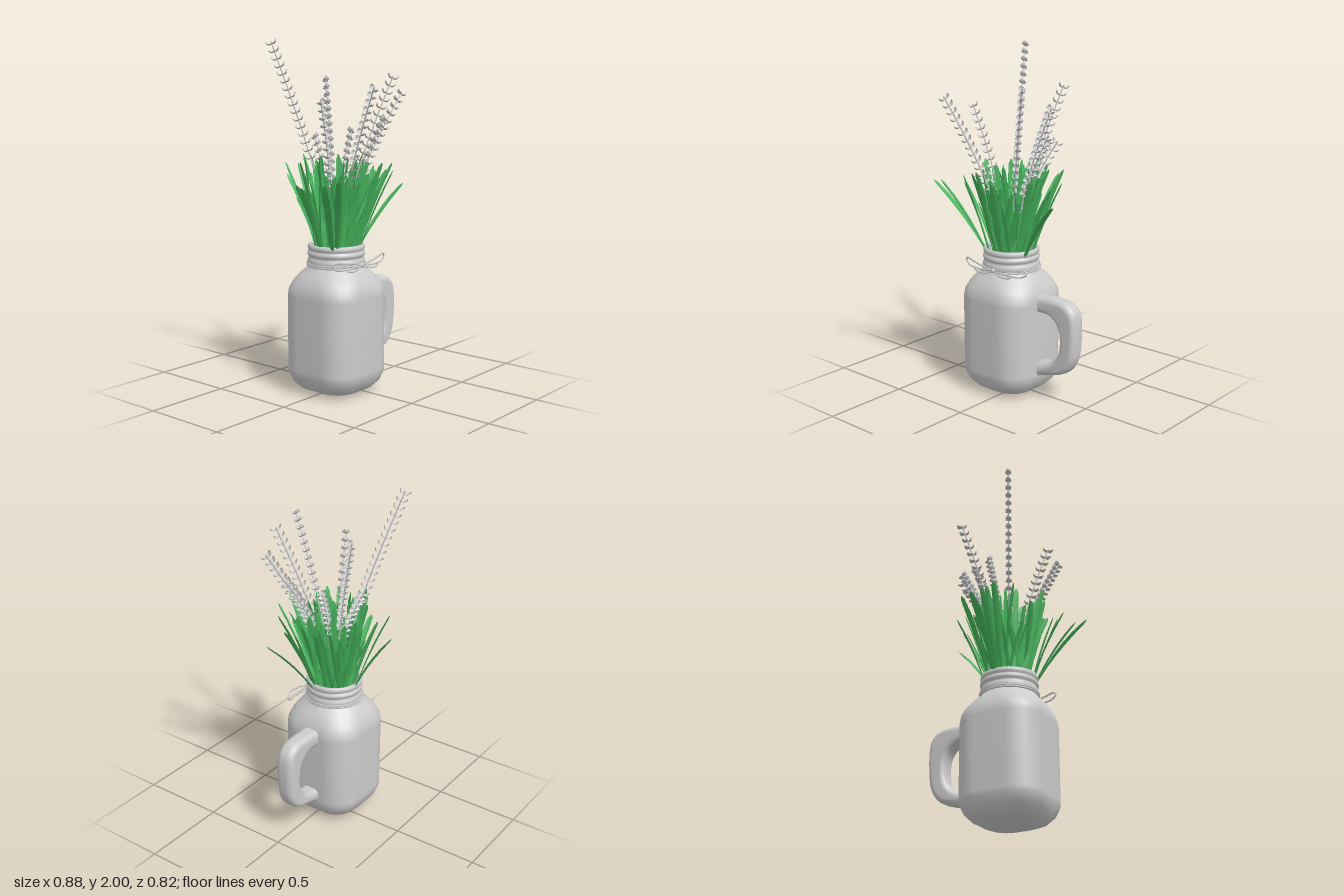
import * as THREE from 'three';
import { mergeGeometries } from 'three/addons/utils/BufferGeometryUtils.js';

const V = (x, y, z) => new THREE.Vector3(x, y, z);
const CX = -0.055; // jar axis

const grey = new THREE.MeshStandardMaterial({ color: 0xcccccc });
const greyThin = new THREE.MeshStandardMaterial({ color: 0xcccccc, side: THREE.DoubleSide, flatShading: true });
const green = new THREE.MeshStandardMaterial({ color: 0x46b75d, side: THREE.DoubleSide });

let seed = 7;
const rand = (a = 0, b = 1) => {
  seed = (seed * 16807) % 2147483647;
  return a + (b - a) * seed / 2147483647;
};

function mesh(name, geometry, material = grey) {
  const m = new THREE.Mesh(geometry, material);
  m.name = name;
  return m;
}

// Skin a list of point rows; closed rows wrap round
function skin(rows, closed) {
  const n = rows[0].length, index = [];
  for (let j = 0; j < rows.length - 1; j++) {
    for (let i = 0; i < (closed ? n : n - 1); i++) {
      const k = (i + 1) % n, a = j * n + i, b = j * n + k;
      index.push(a, b, a + n, b, b + n, a + n);
    }
  }
  const g = new THREE.BufferGeometry().setFromPoints(rows.flat());
  g.setIndex(index);
  g.computeVertexNormals();
  return g;
}

// Rounded rectangle outline, counter-clockwise
function roundedRect(w, h, r, steps = 6) {
  const pts = [];
  [[1, 1], [-1, 1], [-1, -1], [1, -1]].forEach(([sx, sy], q) => {
    for (let i = 0; i <= steps; i++) {
      const a = (q + i / steps) * Math.PI / 2;
      pts.push([sx * (w - r) + r * Math.cos(a), sy * (h - r) + r * Math.sin(a)]);
    }
  });
  return pts;
}

function jarBody() {
  // height, half width, corner radius
  const rings = [
    [0, 0.001, 0.001], [0, 0.1, 0.075], [0.003, 0.14, 0.1], [0.022, 0.185, 0.125], [0.06, 0.221, 0.145],
    [0.11, 0.24, 0.153], [0.14, 0.241, 0.153], [0.56, 0.241, 0.153], [0.6, 0.237, 0.155], [0.64, 0.222, 0.16],
    [0.68, 0.198, 0.165], [0.71, 0.172, 0.168], [0.73, 0.158, 0.157],
  ];
  return skin(rings.map(([y, w, r]) => roundedRect(w, w, r).map(([u, v]) => V(CX + u, y, -v))), true);
}

function jarNeck() {
  // threaded outside, over the rim, down the inner wall to the floor
  const p = [
    [0.155, 0.71], [0.155, 0.735], [0.163, 0.742], [0.165, 0.755], [0.163, 0.768], [0.156, 0.775],
    [0.156, 0.785], [0.163, 0.791], [0.165, 0.8], [0.163, 0.81], [0.156, 0.816], [0.156, 0.822],
    [0.162, 0.828], [0.163, 0.84], [0.158, 0.852], [0.148, 0.854], [0.142, 0.846], [0.14, 0.8],
    [0.14, 0.08], [0, 0.06],
  ].map(([x, y]) => new THREE.Vector2(x, y));
  return new THREE.LatheGeometry(p, 40).translate(CX, 0, 0);
}

// Handle skinned between its outer and inner outlines
function handle() {
  const curve = (pts) => new THREE.CatmullRomCurve3(pts.map(([x, y]) => V(x, y, 0)));
  const outer = curve([[0.13, 0.61], [0.2, 0.61], [0.3, 0.61], [0.38, 0.597], [0.425, 0.555], [0.44, 0.49],
    [0.44, 0.35], [0.425, 0.26], [0.37, 0.185], [0.2, 0.13], [0.13, 0.105]]);
  const inner = curve([[0.13, 0.505], [0.19, 0.51], [0.25, 0.505], [0.3, 0.475], [0.325, 0.435], [0.335, 0.38],
    [0.328, 0.31], [0.305, 0.26], [0.265, 0.228], [0.19, 0.212], [0.13, 0.21]]);
  const rows = [], N = 40;
  for (let j = 0; j <= N; j++) {
    const t = j / N, a = outer.getPoint(t), b = inner.getPoint(t);
    const c = a.clone().lerp(b, 0.5), half = a.distanceTo(b) / 2, u = a.clone().sub(b).normalize();
    const flare = 1 + 0.5 * Math.max(0, 1 - Math.min(t, 1 - t) / 0.15) ** 2;
    rows.push(roundedRect(half, 0.053 * flare, 0.036, 4).map(([p, q]) => c.clone().addScaledVector(u, p).setZ(q)));
  }
  return skin(rows, true);
}

// String wound round the neck with a bow on the front
function twine() {
  const g = new THREE.Group();
  g.name = 'twine';
  [0.733, 0.744].forEach((y) => {
    const ring = mesh('twineRing', new THREE.TorusGeometry(0.165, 0.006, 6, 48).rotateX(Math.PI / 2));
    ring.position.set(CX, y, 0);
    g.add(ring);
  });
  const tube = (name, pts) => g.add(mesh(name, new THREE.TubeGeometry(
    new THREE.CatmullRomCurve3(pts.map(([x, y, z]) => V(CX + 0.015 + x, y, z))), 40, 0.005, 6)));
  for (const s of [-1, 1]) {
    tube('bowLoop', [[0, 0.745, 0.172], [s * 0.07, 0.762, 0.185], [s * 0.16, 0.778, 0.175], [s * 0.21, 0.782, 0.16],
      [s * 0.23, 0.765, 0.152], [s * 0.2, 0.742, 0.158], [s * 0.09, 0.738, 0.178], [0, 0.745, 0.172]]);
    tube('bowTail', [[0, 0.745, 0.174], [s * 0.04, 0.728, 0.182], [s * 0.09, 0.722, 0.186], [s * 0.14, 0.73, 0.178]]);
  }
  const knot = mesh('bowKnot', new THREE.SphereGeometry(0.013, 10, 8));
  knot.position.set(CX + 0.015, 0.745, 0.173);
  g.add(knot);
  return g;
}

// One arched blade with a shallow centre fold
function blade(base, tip, width, turn, arch) {
  const out = V(tip.x - base.x, 0, tip.z - base.z), reach = out.length();
  out.normalize();
  const mid = base.clone().lerp(tip, 0.5).addScaledVector(out, -reach * arch);
  mid.y += 0.05;
  const curve = new THREE.QuadraticBezierCurve3(base, mid, tip);
  const across = V(-out.z, 0, out.x).applyAxisAngle(V(0, 1, 0), turn);
  const shape = [0.45, 0.6, 0.75, 0.9, 1, 0.97, 0.72, 0.18];
  return skin(shape.map((s, j) => {
    const t = j === 6 ? 0.95 : j === 7 ? 1 : j / 6.5;
    const c = curve.getPoint(t), w = s * width;
    const fold = c.clone().addScaledVector(out, w * 0.35);
    fold.y -= w * 0.25;
    return [c.clone().addScaledVector(across, -w), fold, c.clone().addScaledVector(across, w)];
  }), false);
}

function grass() {
  // tips of the long outer blades, rooted near the rim
  const blades = [
    [-0.435, 1.23, 0.24], [-0.385, 1.2, 0.035], [-0.35, 1.25, 0.27], [-0.055, 1.33, 0.325], [0.07, 1.28, 0.305],
    [-0.03, 1.22, -0.4], [-0.04, 1.29, -0.3], [0.1, 1.28, -0.28], [-0.13, 1.3, -0.32], [0.37, 1.17, 0.15],
    [0.24, 1.25, -0.09], [0.24, 1.3, 0.17], [0.3, 1.25, 0.08], [-0.3, 1.33, -0.05], [-0.24, 1.28, 0.2],
    [-0.17, 1.33, -0.13], [-0.3, 1.22, 0.13], [0.02, 1.18, 0.24],
  ].map(([x, y, z]) => {
    const out = V(x - CX, 0, z).setLength(0.115);
    return blade(V(CX + out.x, 0.76, out.z), V(x, y, z), 0.02, rand(-0.4, 0.4), 0.06);
  });
  // loose filling, roots scattered over the mouth
  for (let i = 0; i < 105; i++) {
    const a = i * 2.39996, f = Math.sqrt((i + 0.5) / 105), r = 0.02 + 0.23 * f * rand(0.75, 1.1);
    const b = a + rand(-0.9, 0.9), q = 0.12 * f * rand(0.5, 1);
    const tip = V(CX + 0.015 + r * Math.cos(a), rand(1.1, 1.36), 0.015 + r * Math.sin(a));
    const base = V(CX + q * Math.cos(b), 0.76, q * Math.sin(b));
    blades.push(blade(base, tip, rand(0.012, 0.019), rand(-1.4, 1.4), rand(-0.1, 0.15)));
  }
  return mesh('grassBlades', mergeGeometries(blades), green);
}

// Pair of broad folded petals curling up, axis along +y
function budPair() {
  return mergeGeometries([0, Math.PI].map((turn) => skin(
    [[0.001, 0, 0.012], [0.014, -0.001, 0.018], [0.024, 0.006, 0.016], [0.03, 0.019, 0.004]]
      .map(([x, y, w]) => [V(x, y, w), V(x + 0.003, y - 0.006, 0), V(x, y, -w)]), false).rotateY(turn)));
}

function flowerStalks() {
  const g = new THREE.Group();
  g.name = 'flowerStalks';
  const bud = budPair();
  [
    [-0.23, 1.985, -0.33], [-0.275, 1.665, 0.08], [-0.2, 1.74, 0.385], [0.2, 1.795, 0.205], [0.13, 1.775, -0.24],
    [0.355, 1.7, 0.15], [0.28, 1.54, 0.08], [0.2, 1.48, -0.1], [0.03, 1.45, -0.24],
  ].forEach(([x, y, z]) => {
    const lean = V(x - CX, 0, z);
    const path = new THREE.QuadraticBezierCurve3(
      V(CX, 0.7, 0), V(CX + 0.1 * lean.x, 1.1, 0.1 * lean.z), V(x, y, z));
    const length = path.getLength(), spike = Math.min(0.7, length * 0.56);
    const side = V(lean.z, 0, -lean.x).normalize();
    const parts = [new THREE.TubeGeometry(path, 10, 0.004, 5)];
    // petals open in the plane of the lean
    for (let d = 0.012; d < spike; d += 0.045) {
      const t = 1 - d / length, dir = path.getTangentAt(t);
      const frame = new THREE.Matrix4().makeBasis(dir.clone().cross(side), dir, side);
      parts.push(bud.clone().applyMatrix4(frame.setPosition(path.getPointAt(t))));
    }
    parts.forEach((p) => p.deleteAttribute('uv'));
    g.add(mesh('flowerStalk', mergeGeometries(parts), greyThin));
  });
  return g;
}

export function createModel() {
  const model = new THREE.Group();
  model.name = 'jarWithPlants';
  model.add(
    mesh('jarBody', jarBody()), mesh('jarNeck', jarNeck()), mesh('handle', handle()),
    twine(), grass(), flowerStalks(),
  );
  return model;
}
